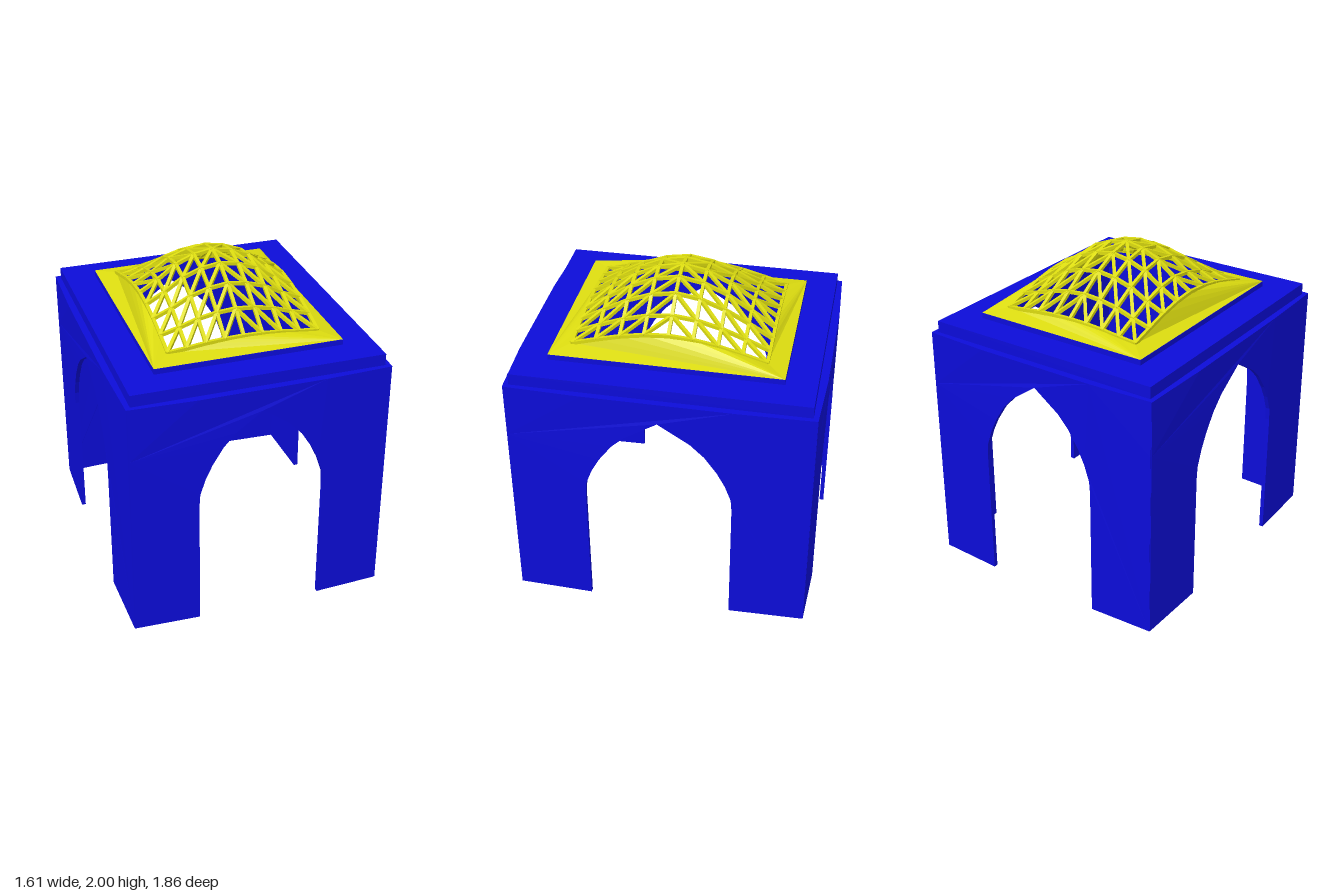
import * as THREE from 'three';

const blue = new THREE.MeshStandardMaterial({ color: 0x0c0cd8, flatShading: true });
const yellow = new THREE.MeshStandardMaterial({ color: 0xdcdc10, flatShading: true });
const yellowSheet = new THREE.MeshStandardMaterial({ color: 0xdcdc10, flatShading: true, side: THREE.DoubleSide });

const WALL_TOP = 1.53, RIM_Y = 1.635, APEX = 1.99, N = 8;

// Thin wall with a pointed arch; it leans back slightly beyond the arch jambs
function archWall(halfWidth, archHalf, face, drop, thickness = 0.026) {
  const arch = [[1, 0], [1, 0.82], [0.985, 0.9], [0.9, 1.0], [0.79, 1.09], [0.62, 1.195], [0.43, 1.275]];
  const shape = new THREE.Shape();
  shape.moveTo(-halfWidth, 0);
  for (const [u, y] of arch) shape.lineTo(-u * archHalf, y);
  shape.lineTo(0, 1.395);
  for (const [u, y] of [...arch].reverse()) shape.lineTo(u * archHalf, y);
  shape.lineTo(halfWidth, 0);
  shape.lineTo(halfWidth, 1.19);
  shape.lineTo(halfWidth, WALL_TOP);
  shape.lineTo(archHalf, WALL_TOP);
  shape.lineTo(-archHalf, WALL_TOP);
  shape.lineTo(-halfWidth, WALL_TOP);
  shape.lineTo(-halfWidth, 1.19);
  const geo = new THREE.ExtrudeGeometry(shape, { depth: thickness, bevelEnabled: false });
  const p = geo.attributes.position;
  for (let i = 0; i < p.count; i++) {
    const t = Math.max(0, (Math.abs(p.getX(i)) - archHalf) / (halfWidth - archHalf));
    p.setZ(i, p.getZ(i) + face - thickness - drop * t);
  }
  geo.computeVertexNormals();
  return geo;
}

// Flat rectangular slab with a rectangular opening
function frameSlab(name, w, d, holeW, holeD, y0, y1) {
  const rect = (path, a, b) => {
    path.moveTo(-a, -b); path.lineTo(a, -b); path.lineTo(a, b); path.lineTo(-a, b); path.closePath();
    return path;
  };
  const shape = rect(new THREE.Shape(), w, d);
  shape.holes.push(rect(new THREE.Path(), holeW, holeD));
  const geo = new THREE.ExtrudeGeometry(shape, { depth: y1 - y0, bevelEnabled: false });
  geo.rotateX(-Math.PI / 2).translate(0, y0, 0);
  const mesh = new THREE.Mesh(geo, blue);
  mesh.name = name;
  return mesh;
}

// Node of the dome lattice: height falls off along both axes
const fallX = [1, 0.945, 0.815, 0.58, 0.39], fallZ = [1, 0.92, 0.73, 0.46, 0.165];
function node(i, j) {
  const a = i - N / 2, b = j - N / 2;
  const y = RIM_Y + (APEX - RIM_Y) * fallX[Math.abs(a)] * fallZ[Math.abs(b)];
  return new THREE.Vector3(a * 0.114, y, b * 0.1445);
}

// Square bar between two points
const barGeo = new THREE.BoxGeometry(0.02, 0.02, 1);
function bar(a, b) {
  const mesh = new THREE.Mesh(barGeo, yellow);
  mesh.name = 'latticeBar';
  mesh.position.copy(a).add(b).multiplyScalar(0.5);
  mesh.lookAt(b);
  mesh.scale.z = a.distanceTo(b) + 0.008;
  return mesh;
}

function createLattice() {
  const lattice = new THREE.Group();
  lattice.name = 'domeLattice';
  for (let i = 0; i <= N; i++) {
    for (let j = 0; j <= N; j++) {
      if (i < N) lattice.add(bar(node(i, j), node(i + 1, j)));
      if (j < N) lattice.add(bar(node(i, j), node(i, j + 1)));
      // Diagonals climb toward the crown
      if (i < N && j < N) {
        const climbs = (i < N / 2) === (j < N / 2);
        lattice.add(climbs ? bar(node(i, j), node(i + 1, j + 1)) : bar(node(i + 1, j), node(i, j + 1)));
      }
    }
  }
  return lattice;
}

// Sloping sheet from the rectangular base to the lattice edge, fanned from one corner per side
function createSkirt() {
  const X = 0.57, Z = 0.695;
  const corner = (sx, sz) => new THREE.Vector3(sx * X, RIM_Y, sz * Z);
  const sides = [
    [corner(1, 1), corner(-1, 1), k => node(N - k, N)],
    [corner(1, -1), corner(1, 1), k => node(N, k)],
    [corner(-1, -1), corner(1, -1), k => node(k, 0)],
    [corner(-1, 1), corner(-1, -1), k => node(0, N - k)],
  ];
  const pts = [];
  for (const [start, end, inner] of sides) {
    for (let k = 0; k < N; k++) pts.push(start, inner(k + 1), inner(k));
    pts.push(start, end, inner(N));
  }
  const geo = new THREE.BufferGeometry().setFromPoints(pts);
  geo.computeVertexNormals();
  const mesh = new THREE.Mesh(geo, yellowSheet);
  mesh.name = 'domeSkirt';
  return mesh;
}

export function createModel() {
  const model = new THREE.Group();
  model.name = 'archedPavilion';

  // Four arched walls meeting at L-shaped legs
  const frontGeo = archWall(0.785, 0.383, 0.928, 0.018);
  const sideGeo = archWall(0.908, 0.443, 0.803, 0.013);
  const walls = [['frontWall', frontGeo], ['leftWall', sideGeo], ['backWall', frontGeo], ['rightWall', sideGeo]];
  walls.forEach(([name, geo], i) => {
    const wall = new THREE.Mesh(geo, blue);
    wall.name = name;
    wall.rotation.y = i * Math.PI / 2;
    model.add(wall);
  });

  // Stepped roof with an opening under the dome
  model.add(frameSlab('roofLedge', 0.782, 0.905, 0.56, 0.68, WALL_TOP - 0.025, WALL_TOP - 0.002));
  model.add(frameSlab('roofSlab', 0.76, 0.88, 0.56, 0.68, WALL_TOP - 0.002, 1.6));
  model.add(frameSlab('domeCurb', 0.57, 0.695, 0.54, 0.66, 1.6, 1.633));

  model.add(createSkirt(), createLattice());
  return model;
}
